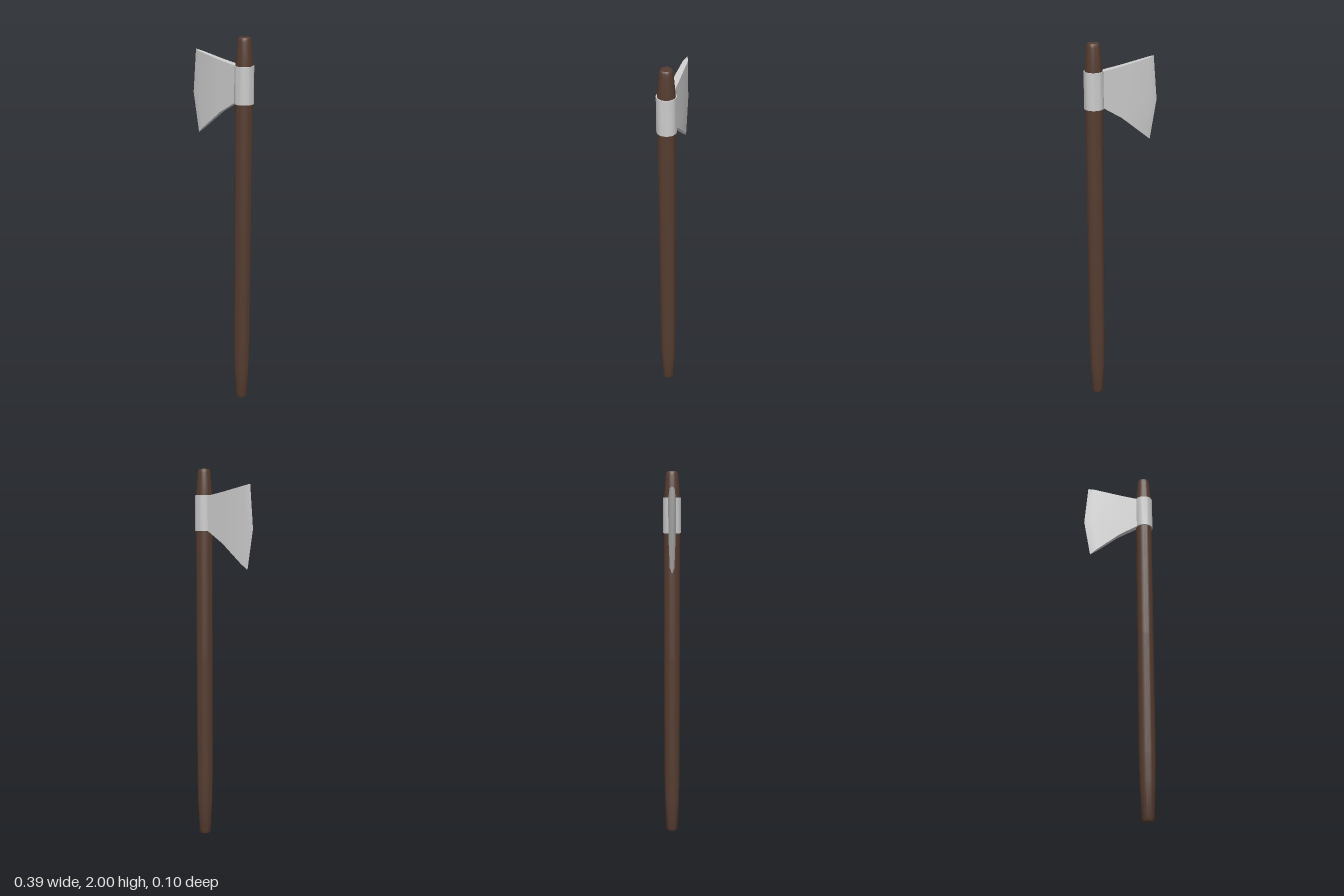
import * as THREE from 'three';
import { toCreasedNormals } from 'three/addons/utils/BufferGeometryUtils.js';

const AXIS_X = 0.145; // centre line of the handle

function turned(name, profile, material) {
  const points = profile.map(([r, y]) => new THREE.Vector2(r, y));
  const mesh = new THREE.Mesh(toCreasedNormals(new THREE.LatheGeometry(points, 32), 0.5), material);
  mesh.name = name;
  mesh.position.x = AXIS_X;
  return mesh;
}

// Lofts the blade from the socket to the cutting edge.
// Each station holds [x, y] at the top, middle and bottom, and a half thickness.
function bladeGeometry() {
  const stations = [
    { rows: [[0.125, 1.857], [0.125, 1.765], [0.125, 1.69]], half: 0.021 },
    { rows: [[0.1, 1.86], [0.1, 1.765], [0.1, 1.675]], half: 0.02 },
    { rows: [[0, 1.876], [0, 1.74], [0, 1.612]], half: 0.017 },
    { rows: [[-0.148, 1.904], [-0.158, 1.69], [-0.128, 1.506]], half: 0.012 },
    { rows: [[-0.178, 1.912], [-0.198, 1.685], [-0.162, 1.477]], half: 0 },
  ];
  const positions = [];
  for (const { rows, half } of stations) {
    for (const [x, y] of rows) positions.push(x, y, half);
    for (const [x, y] of [...rows].reverse()) positions.push(x, y, -half);
  }
  const index = [];
  for (let s = 0; s < stations.length - 1; s++) {
    const last = s === stations.length - 2;
    for (let k = 0; k < 6; k++) {
      const a = s * 6 + k, b = s * 6 + (k + 1) % 6;
      const d = a + 6, c = b + 6;
      // the top and bottom strips close to a point at the cutting edge
      if (!(last && k % 3 === 2)) index.push(a, d, c);
      index.push(a, c, b);
    }
  }
  const geometry = new THREE.BufferGeometry();
  geometry.setAttribute('position', new THREE.Float32BufferAttribute(positions, 3));
  geometry.setIndex(index);
  return toCreasedNormals(geometry, 0.6);
}

export function createModel() {
  const wood = new THREE.MeshStandardMaterial({ color: 0x553c30 });
  const steel = new THREE.MeshStandardMaterial({ color: 0xcccccc });
  const group = new THREE.Group();
  group.name = 'axe';

  // Wooden shaft, tapered and chamfered at both ends
  group.add(turned('handle', [
    [0, 0], [0.027, 0], [0.032, 0.012], [0.04, 0.19], [0.043, 0.34],
    [0.044, 1.0], [0.044, 1.86], [0.034, 1.98], [0.031, 1.994], [0.026, 2], [0, 2],
  ], wood));

  // Steel sleeve around the shaft
  group.add(turned('collar', [
    [0.042, 1.675], [0.049, 1.675], [0.049, 1.863], [0.042, 1.863], [0.042, 1.675],
  ], steel));

  // Flared blade with a ground edge
  const blade = new THREE.Mesh(bladeGeometry(), steel);
  blade.name = 'blade';
  group.add(blade);

  return group;
}
